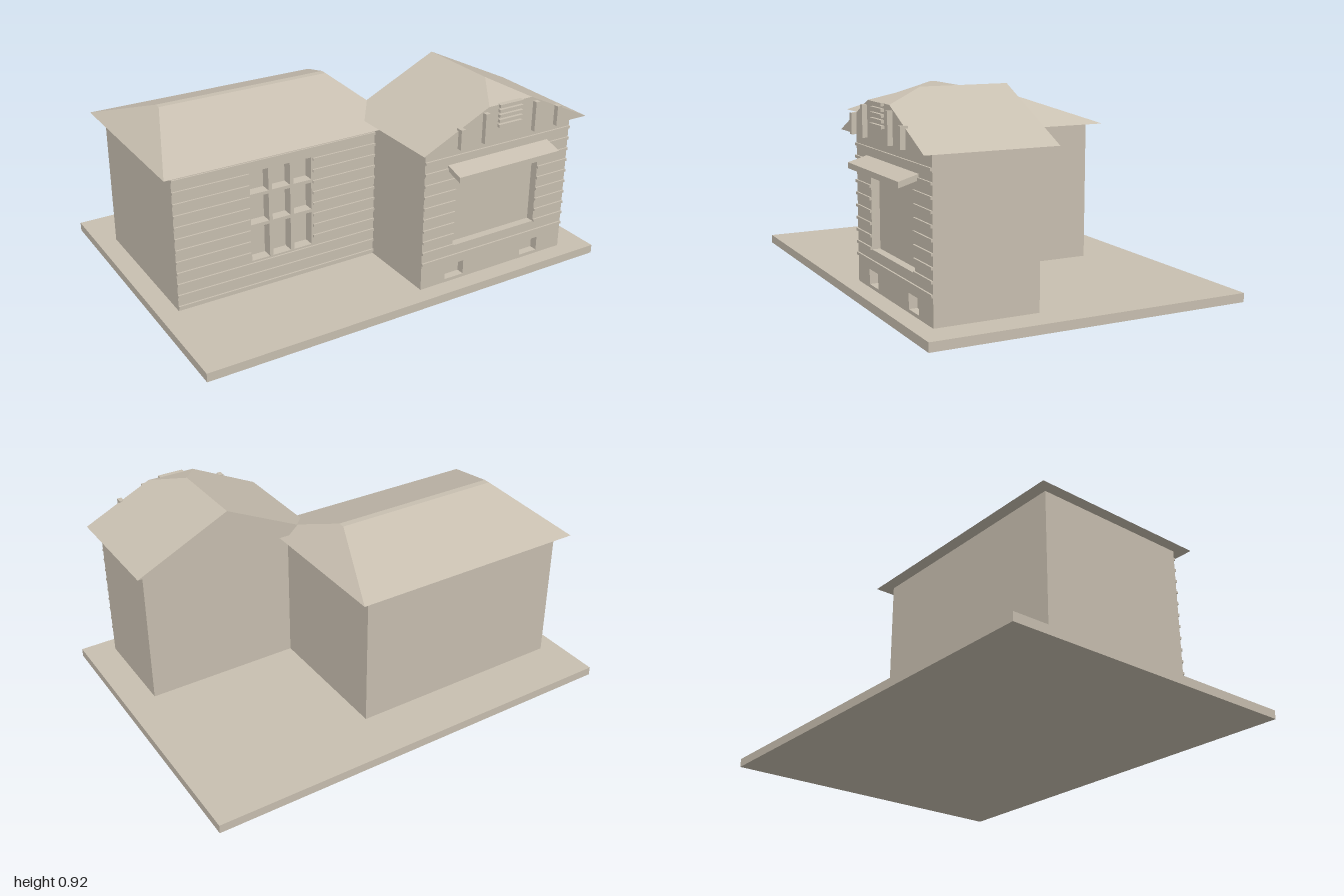
import * as THREE from 'three';
import { ConvexGeometry } from 'three/addons/geometries/ConvexGeometry.js';

export function createModel() {
  const house = new THREE.Group();
  house.name = 'house';
  const clay = new THREE.MeshStandardMaterial({ color: 0xc8bfb0 });
  clay.name = 'warm clay';

  function add(name, geometry, parent = house) {
    const mesh = new THREE.Mesh(geometry, clay);
    mesh.name = name;
    parent.add(mesh);
    return mesh;
  }
  // Box given by its limits on each axis
  function box(name, [x0, x1], [y0, y1], [z0, z1], parent) {
    const g = new THREE.BoxGeometry(x1 - x0, y1 - y0, z1 - z0);
    g.translate((x0 + x1) / 2, (y0 + y1) / 2, (z0 + z1) / 2);
    return add(name, g, parent);
  }
  function solid(name, points) {
    return add(name, new ConvexGeometry(points.map((p) => new THREE.Vector3(...p))));
  }
  function rect(Type, [x0, x1, y0, y1]) {
    const s = new Type();
    s.moveTo(x0, y0);
    s.lineTo(x1, y0);
    s.lineTo(x1, y1);
    s.lineTo(x0, y1);
    s.closePath();
    return s;
  }
  // Front wall slab with recessed openings
  function frontWall(name, outline, holes, z, depth) {
    const shape = rect(THREE.Shape, outline);
    shape.holes = holes.map((h) => rect(THREE.Path, h));
    const g = new THREE.ExtrudeGeometry(shape, { depth, bevelEnabled: false });
    g.translate(0, 0, z - depth);
    add(name, g);
  }
  // Thin horizontal siding strips, broken around an opening
  function siding(name, x0, x1, firstRow, z, [wx0, wx1, wy0, wy1]) {
    const group = new THREE.Group();
    group.name = name;
    house.add(group);
    for (let i = firstRow; i < 12; i++) {
      const y = 0.058 + i * 0.0537;
      const spans = y > wy0 && y < wy1 ? [[x0, wx0], [wx1, x1]] : [[x0, x1]];
      for (const span of spans) box('sidingStrip', span, [y - 0.006, y + 0.006], [z - 0.002, z + 0.008], group);
    }
  }

  box('base', [-1, 1], [0, 0.04], [-0.73, 0.73]);

  // Main block with a nine-pane window
  const panes = [];
  for (const [y0, y1] of [[0.18, 0.34], [0.355, 0.485], [0.5, 0.605]])
    for (const x of [-0.555, -0.45, -0.345]) panes.push([x, x + 0.088, y0, y1]);
  box('mainWalls', [-0.91, 0.13], [0.04, 0.685], [-0.48, 0.21]);
  frontWall('mainFrontWall', [-0.91, 0.13, 0.04, 0.685], panes, 0.26, 0.05);
  siding('mainSiding', -0.91, 0.07, 0, 0.26, [-0.56, -0.25, 0.175, 0.61]);

  // Hipped main roof with a narrow flat ridge
  solid('mainRoof', [
    [-0.96, 0.685, -0.535], [0.185, 0.685, -0.535], [0.185, 0.685, 0.315], [-0.96, 0.685, 0.315],
    [-0.8, 0.83, -0.125], [0.025, 0.83, -0.125], [0.025, 0.83, -0.092], [-0.8, 0.83, -0.092],
  ]);

  // Front wing with a wide window and two low vents
  const wide = [0.235, 0.69, 0.215, 0.56];
  box('wingWalls', [0.07, 0.86], [0.04, 0.71], [0.185, 0.61]);
  frontWall('wingFrontWall', [0.07, 0.86, 0.04, 0.71],
    [wide, [0.2, 0.3, 0.055, 0.122], [0.625, 0.725, 0.055, 0.122]], 0.647, 0.037);
  siding('wingSiding', 0.07, 0.86, 2, 0.647, wide);

  // Gabled wing roof, clipped at the front
  solid('wingRoof', [
    [0.025, 0.71, 0.125], [0.905, 0.71, 0.125], [0.465, 0.92, 0.125], [0.465, 0.92, 0.52],
    [0.025, 0.71, 0.7], [0.905, 0.71, 0.7], [0.35, 0.865, 0.7], [0.58, 0.865, 0.7],
  ]);

  // Sloping awning
  solid('awning', [0.19, 0.735].flatMap((x) => [
    [x, 0.615, 0.645], [x, 0.59, 0.645], [x, 0.59, 0.732], [x, 0.565, 0.732],
  ]));

  // Gable battens, mirrored about the ridge
  for (const side of [-1, 1])
    for (const [offset, top] of [[0.26, 0.8], [0.135, 0.845]]) {
      const x = 0.465 + side * offset;
      box('gableBatten', [x - 0.011, x + 0.011], [0.71, top], [0.69, 0.722]);
    }

  // Louvred gable vent
  for (let i = 0; i < 5; i++) {
    const y = 0.765 + i * 0.0225;
    box('ventSlat', [0.4, 0.525], [y, y + 0.013], [0.69, 0.714]);
  }
  return house;
}
